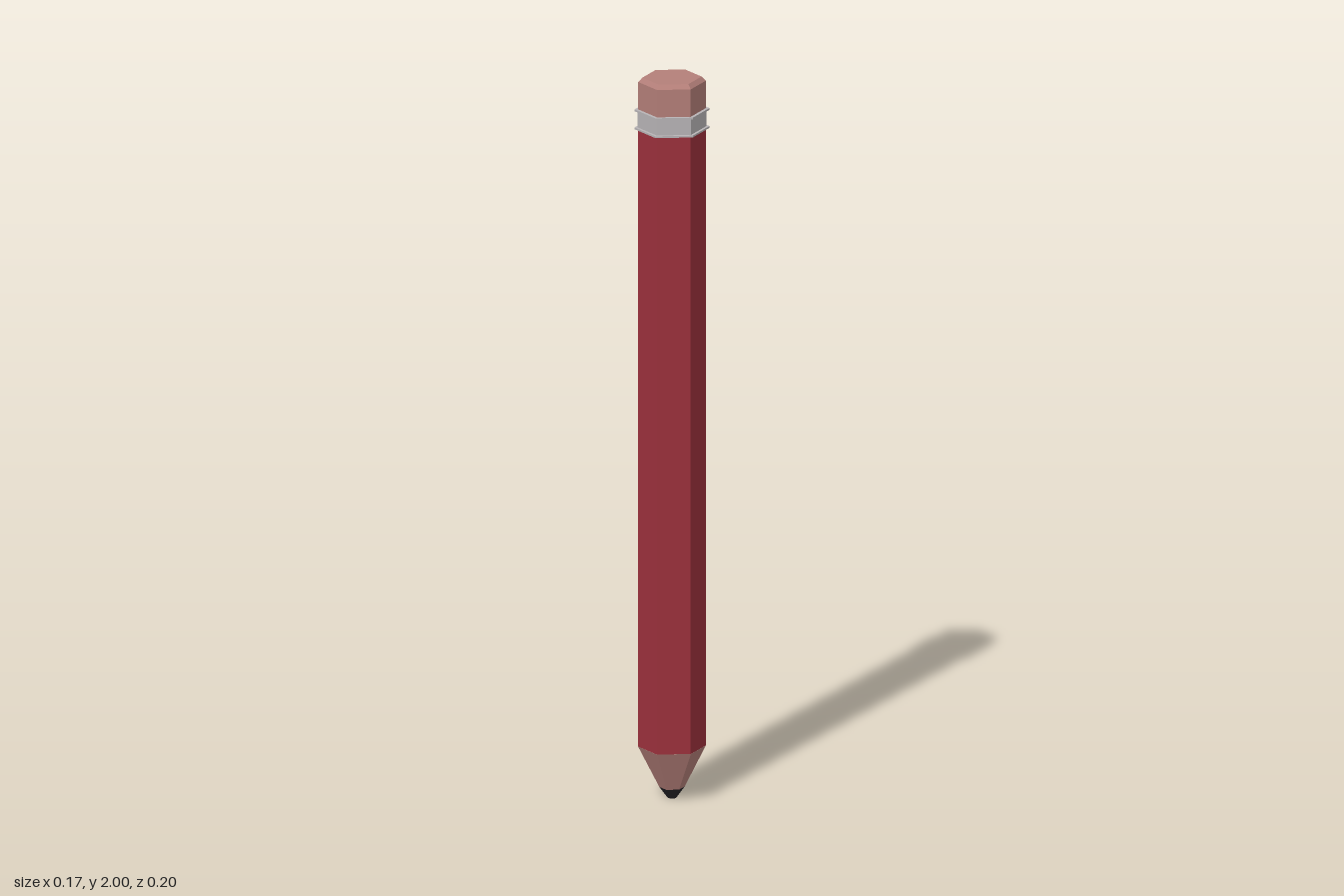
import * as THREE from 'three';

const mat = (name, color) => {
  const m = new THREE.MeshStandardMaterial({ color, flatShading: true });
  m.name = name;
  return m;
};

export function createModel() {
  const red = mat('red paint', 0x9c313c);
  const pink = mat('dusty pink', 0xb47f79);
  const silver = mat('silver metal', 0xb8b4b6);
  const graphite = mat('graphite', 0x242226);

  const pencil = new THREE.Group();
  pencil.name = 'pencil';

  // Six-sided section between two heights, with corners on the z axis
  const section = (name, material, y0, r0, y1, r1, open = false) => {
    const geometry = new THREE.CylinderGeometry(r1, r0, y1 - y0, 6, 1, open);
    const mesh = new THREE.Mesh(geometry, material);
    mesh.name = name;
    mesh.position.y = (y0 + y1) / 2;
    pencil.add(mesh);
  };

  // Sharpened end
  section('leadTip', graphite, 0, 0.012, 0.03, 0.034);
  section('sharpenedWood', pink, 0.03, 0.034, 0.143, 0.0905);

  // Painted shaft
  section('shaft', red, 0.143, 0.09, 1.86, 0.09, true);

  // Metal band with a thin lip at each end
  section('ferruleBand', silver, 1.86, 0.0915, 1.91, 0.0915, true);
  section('ferruleLowerLip', silver, 1.857, 0.1, 1.862, 0.1);
  section('ferruleUpperLip', silver, 1.907, 0.1, 1.912, 0.1);

  // Eraser with a bevelled top edge
  section('eraser', pink, 1.91, 0.09, 1.988, 0.09, true);
  section('eraserBevel', pink, 1.988, 0.09, 2, 0.079);

  return pencil;
}
